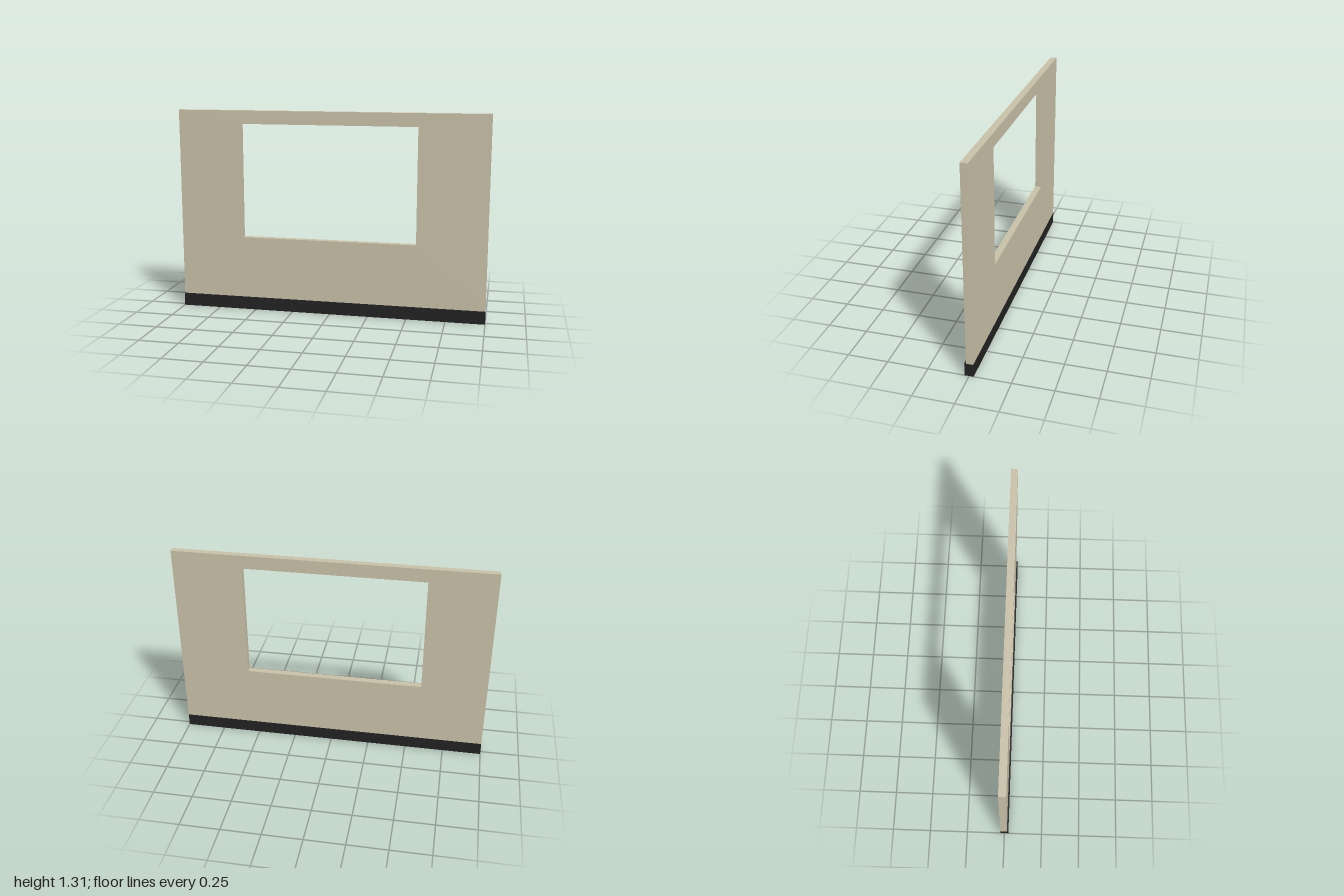
import * as THREE from 'three';

export function createModel() {
  const model = new THREE.Group();
  const plaster = new THREE.MeshStandardMaterial({ color: 0xc8c0a8 });
  plaster.name = 'beige plaster';
  const black = new THREE.MeshStandardMaterial({ color: 0x222222 });
  black.name = 'black skirting';

  const baseTop = 0.082, wallTop = 1.314;

  // Rectangle corners, listed counter-clockwise
  const rect = (x0, y0, x1, y1) => [[x0, y0], [x1, y0], [x1, y1], [x0, y1]]
    .map(([x, y]) => new THREE.Vector2(x, y));

  // Wall panel with a slightly off-centre window opening
  const outline = new THREE.Shape(rect(-1, baseTop, 1, wallTop));
  outline.holes.push(new THREE.Path(rect(-0.583, 0.486, 0.556, 1.229)));
  const wallGeometry = new THREE.ExtrudeGeometry(outline, { depth: 0.043, bevelEnabled: false });
  wallGeometry.translate(0, 0, -0.026);
  const wall = new THREE.Mesh(wallGeometry, plaster);
  wall.name = 'wall';

  // Skirting along the foot, standing proud of the front face
  const skirting = new THREE.Mesh(new THREE.BoxGeometry(2, baseTop, 0.054), black);
  skirting.position.y = baseTop / 2;
  skirting.name = 'skirting';

  model.add(wall, skirting);
  return model;
}
